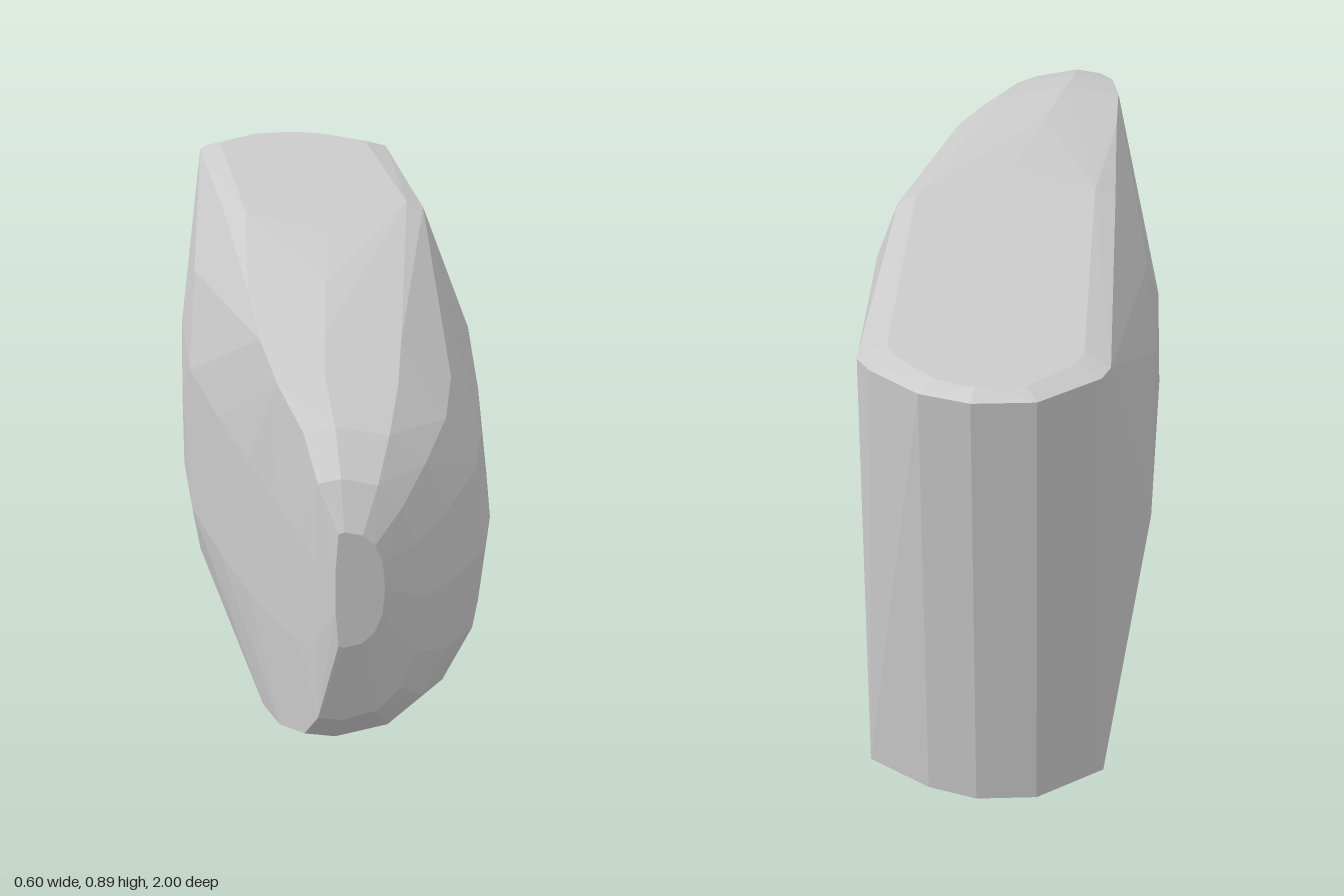
import * as THREE from 'three';
import { ConvexGeometry } from 'three/addons/geometries/ConvexGeometry.js';

export function createModel() {
  const points = [];
  const add = (x, y, z) => points.push(new THREE.Vector3(x, y, z));

  // Blunt back end: faceted in plan, leaning so the top reaches further back
  const backPlan = [[-0.21, -0.86], [-0.195, -0.9], [-0.09, -0.99], [0.02, -1], [0.11, -0.97], [0.2, -0.89], [0.225, -0.85]];
  for (const [x, z] of backPlan) {
    const lean = z < -0.88 ? 0.06 : 0.02;
    add(x, 0.878, z);
    add(x, 0.022, z + lean);
    // inset rim of the flat top and bottom
    add(x * 0.78, 0.892, z * 0.97);
    add(x * 0.78, 0, (z + lean) * 0.95);
  }

  // Flat top and bottom, with chamfered shoulders, up to the middle
  for (const [low, high] of [[0.022, 0.878], [0, 0.892]]) {
    const inset = low === 0;
    for (const y of [low, high]) {
      add(inset ? -0.165 : -0.205, y, -0.15);
      add(inset ? 0.18 : 0.215, y, -0.2);
    }
  }

  // Bulging flanks at mid length
  for (const [x, y, z] of [[-0.27, 0.755, -0.2], [-0.292, 0.62, -0.3], [-0.3, 0.5, -0.2], [-0.29, 0.28, -0.35], [-0.27, 0.15, -0.15]])
    add(x, y, z);
  for (const [x, y] of [[0.28, 0.67], [0.298, 0.5], [0.295, 0.34], [0.28, 0.23]])
    add(x, y, 0);

  // Nose sections: slab-sided on -x, rounded on +x
  // [z, flank x, crease x, centre x, round side x, bottom y, top y]
  const sections = [
    [0, -0.295, -0.2, 0, 0.295, 0.015, 0.88],
    [0.3, -0.26, -0.2, -0.05, 0.27, 0.045, 0.853],
    [0.55, -0.225, -0.2, -0.08, 0.232, 0.08, 0.825],
    [0.72, -0.195, -0.185, -0.1, 0.19, 0.115, 0.79],
    [0.87, -0.165, -0.155, -0.1, 0.11, 0.165, 0.745],
    [0.955, -0.145, -0.14, -0.1, 0.04, 0.235, 0.68],
    [1, -0.115, -0.11, -0.1, -0.03, 0.39, 0.6],
  ];
  for (const [z, flank, crease, mid, round, y0, y1] of sections) {
    const cy = (y0 + y1) / 2, h = (y1 - y0) / 2;
    for (const s of [-1, 1]) {
      add(crease, cy + s * h * 0.97, z);
      add(flank, cy + s * h * 0.35, z);
    }
    const steps = 8, power = 2 / 2.4;
    for (let i = 0; i <= steps; i++) {
      const a = (i / steps - 0.5) * Math.PI;
      const c = Math.max(0, Math.cos(a)), s = Math.sin(a);
      add(mid + (round - mid) * c ** power, cy + h * Math.sign(s) * Math.abs(s) ** power, z);
    }
  }

  const body = new THREE.Mesh(
    new ConvexGeometry(points),
    new THREE.MeshStandardMaterial({ color: 0xcccccc, flatShading: true })
  );
  body.name = 'facetedBody';
  const group = new THREE.Group();
  group.name = 'roundedWedge';
  group.add(body);
  return group;
}
